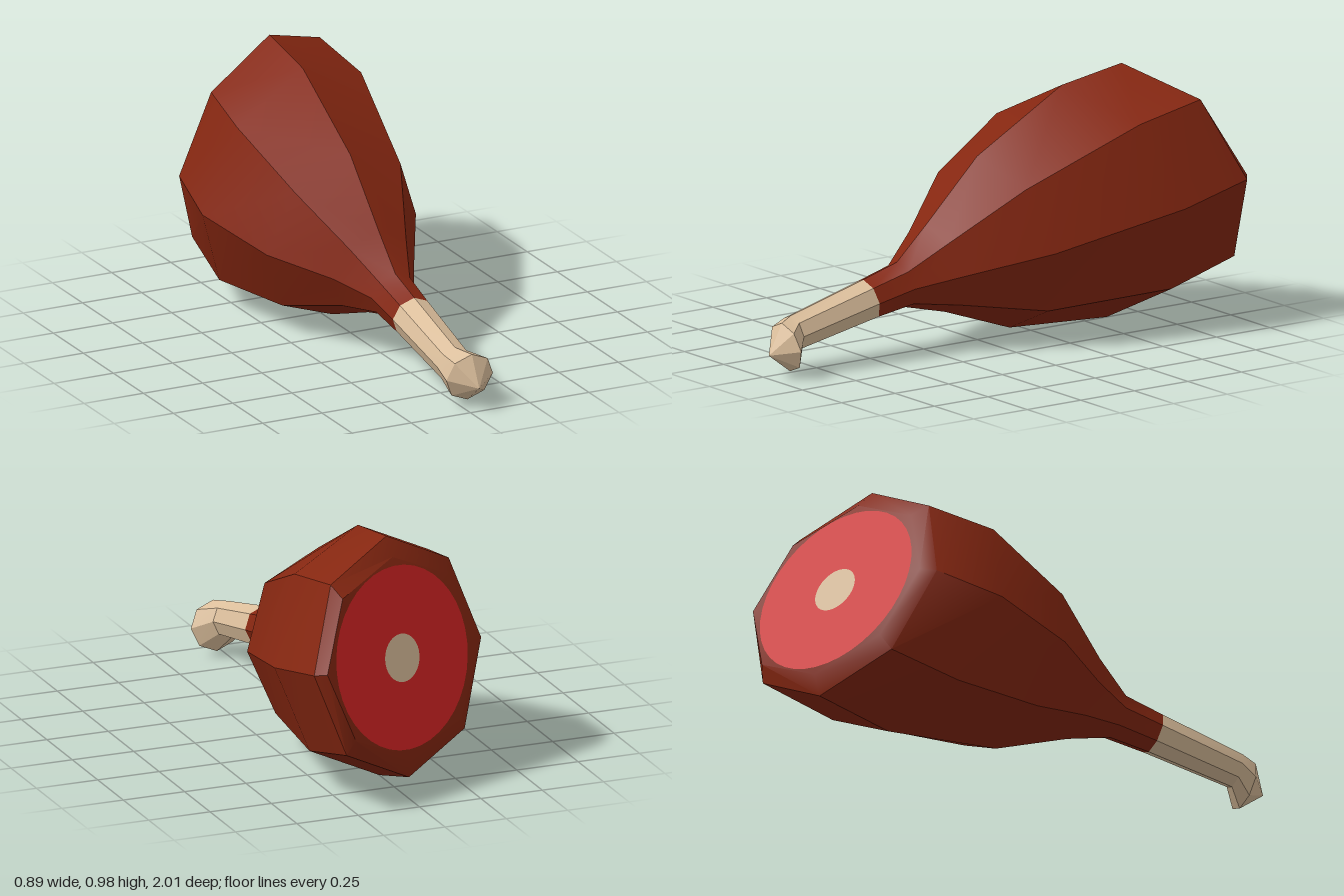
import * as THREE from 'three';
import { toCreasedNormals } from 'three/addons/utils/BufferGeometryUtils.js';

// A cross-section: centre, radii and the slant of its plane
// (tx, ty: depth change along x and y; sy: height change along x)
const ring = (x, y, z, rx, ry, tx = 0, ty = 0.22, sy = 0) => ({ x, y, z, rx, ry, tx, ty, sy });

function ringPoint(r, angle) {
  const dx = r.rx * Math.sin(angle), dy = r.ry * Math.cos(angle);
  return [r.x + dx, r.y + dy + r.sy * dx, r.z + r.tx * dx + r.ty * dy];
}

// Skin a row of rings running from front to back; optional end points close it
function loft(rings, sides, front, back, crease) {
  const pos = [];
  const at = (r, i) => ringPoint(r, (i / sides) * Math.PI * 2);
  const tri = (...corners) => corners.forEach(c => pos.push(...c));
  for (let i = 0; i < sides; i++) {
    for (let k = 0; k < rings.length - 1; k++) {
      const a = rings[k], b = rings[k + 1];
      tri(at(a, i), at(a, i + 1), at(b, i));
      tri(at(a, i + 1), at(b, i + 1), at(b, i));
    }
    if (front) tri(front, at(rings[0], i + 1), at(rings[0], i));
    if (back) tri(back, at(rings[rings.length - 1], i), at(rings[rings.length - 1], i + 1));
  }
  const geo = new THREE.BufferGeometry();
  geo.setAttribute('position', new THREE.Float32BufferAttribute(pos, 3));
  return toCreasedNormals(geo, crease);
}

export function createModel() {
  const material = (name, color) => {
    const m = new THREE.MeshStandardMaterial({ color });
    m.name = name;
    return m;
  };
  const skin = material('roasted skin', 0x862711);
  const red = material('red meat', 0xd62424);
  const bone = material('bone', 0xdcbf9c);

  const group = new THREE.Group();
  group.name = 'hamLeg';
  const add = (name, geo, mat) => {
    const mesh = new THREE.Mesh(geo, mat);
    mesh.name = name;
    group.add(mesh);
  };

  const joint = ring(0, 0.23, 0.515, 0.082, 0.08);

  // Bone shaft with a bent knuckle
  add('bone', loft([
    ring(0.037, 0.112, 0.92, 0.098, 0.096, 0, 0.2),
    ring(0, 0.15, 0.86, 0.07, 0.07, 0, 0.15),
    joint,
  ], 8, [0.037, 0.09, 1.0], null, 0.4), bone);

  // Meat, swelling from the wrist to a slanted, bevelled cut
  const cut = ring(0, 0.54, -0.825, 0.37, 0.37, -0.44, 0.25, 0.08);
  add('meat', loft([
    joint,
    ring(0, 0.265, 0.355, 0.09, 0.09),
    ring(0, 0.305, 0.195, 0.172, 0.175, -0.02, 0.25),
    ring(0, 0.368, -0.075, 0.337, 0.343, -0.13, 0.22, 0.04),
    ring(0, 0.465, -0.5, 0.445, 0.465, -0.33, 0.225, 0.08),
    ring(0, 0.53, -0.785, 0.412, 0.445, -0.42, 0.25, 0.08),
    cut,
  ], 8, null, [cut.x, cut.y, cut.z], 0.6), skin);

  // Flat discs painted on the cut
  const disc = (name, r, lift, mat) => {
    const face = { ...cut, z: cut.z - lift, rx: r, ry: r * 1.04 };
    add(name, loft([face], 40, null, [face.x, face.y, face.z], 0.4), mat);
  };
  disc('cutFace', 0.325, 0.003, red);
  disc('boneCore', 0.085, 0.006, bone);

  return group;
}
